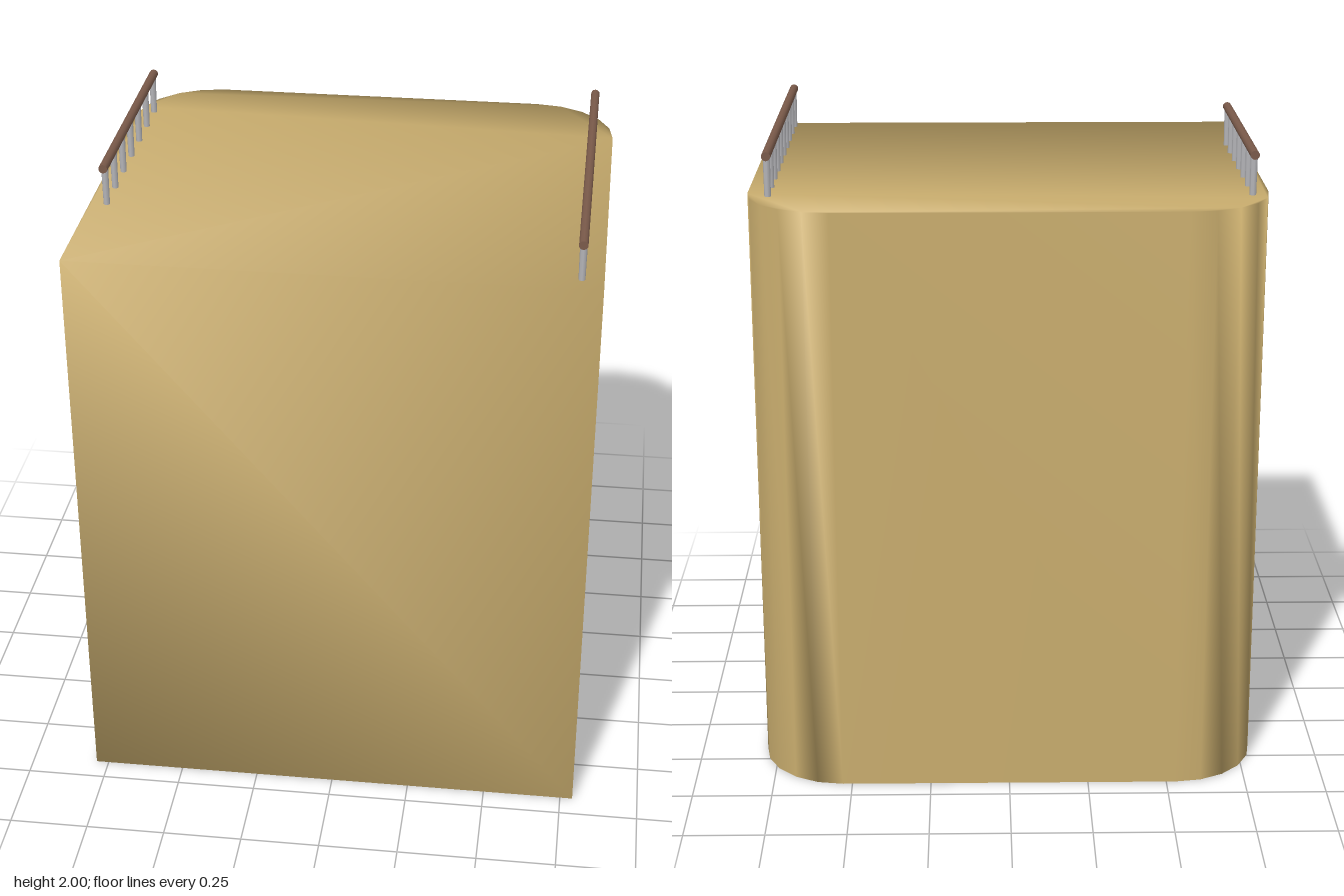
import * as THREE from 'three';
import { mergeVertices } from 'three/addons/utils/BufferGeometryUtils.js';

const mat = (name, color) => {
  const m = new THREE.MeshStandardMaterial({ color });
  m.name = name;
  return m;
};

export function createModel() {
  const group = new THREE.Group();
  const sand = mat('sand', 0xc9ad6e);
  const wood = mat('brown wood', 0x7a5a4a);
  const metal = mat('grey metal', 0xb4b4b8);

  // Main block: square front corners, rounded back corners (shape y = -z)
  const W = 0.79, F = 0.675, B = 0.675, R = 0.26, H = 1.86;
  const s = new THREE.Shape();
  s.moveTo(-W, -F);
  s.lineTo(W, -F);
  for (const [cx, a0] of [[W - R, 0], [R - W, Math.PI / 2]]) {
    for (let i = 0; i <= 5; i++) {
      const a = a0 + (i / 5) * Math.PI / 2;
      s.lineTo(cx + R * Math.cos(a), B - R + R * Math.sin(a));
    }
  }
  s.closePath();
  let body = new THREE.ExtrudeGeometry(s, { depth: H, bevelEnabled: false });
  body.rotateX(-Math.PI / 2);
  // Share the vertices across edges for soft shading
  body.deleteAttribute('normal');
  body.deleteAttribute('uv');
  body = mergeVertices(body, 1e-4);
  body.computeVertexNormals();
  const block = new THREE.Mesh(body, sand);
  block.name = 'block';
  group.add(block);

  // Railings: a round handrail on evenly spaced posts
  const railing = (name, x, z0, z1, first, last, count) => {
    const g = new THREE.Group();
    g.name = name;
    const rail = new THREE.Mesh(new THREE.CylinderGeometry(0.014, 0.014, z1 - z0, 10), wood);
    rail.name = 'handrail';
    rail.rotation.x = Math.PI / 2;
    rail.position.set(x, 1.986, (z0 + z1) / 2);
    g.add(rail);
    const postGeo = new THREE.CylinderGeometry(0.011, 0.01, 0.13, 8);
    for (let i = 0; i < count; i++) {
      const post = new THREE.Mesh(postGeo, metal);
      post.name = 'post';
      post.position.set(x, 1.915, first + (last - first) * i / (count - 1));
      g.add(post);
    }
    group.add(g);
  };
  railing('leftRailing', 0.725, -0.48, 0.65, -0.455, 0.612, 10);
  railing('rightRailing', -0.737, -0.48, 0.30, -0.455, 0.275, 7);

  return group;
}
